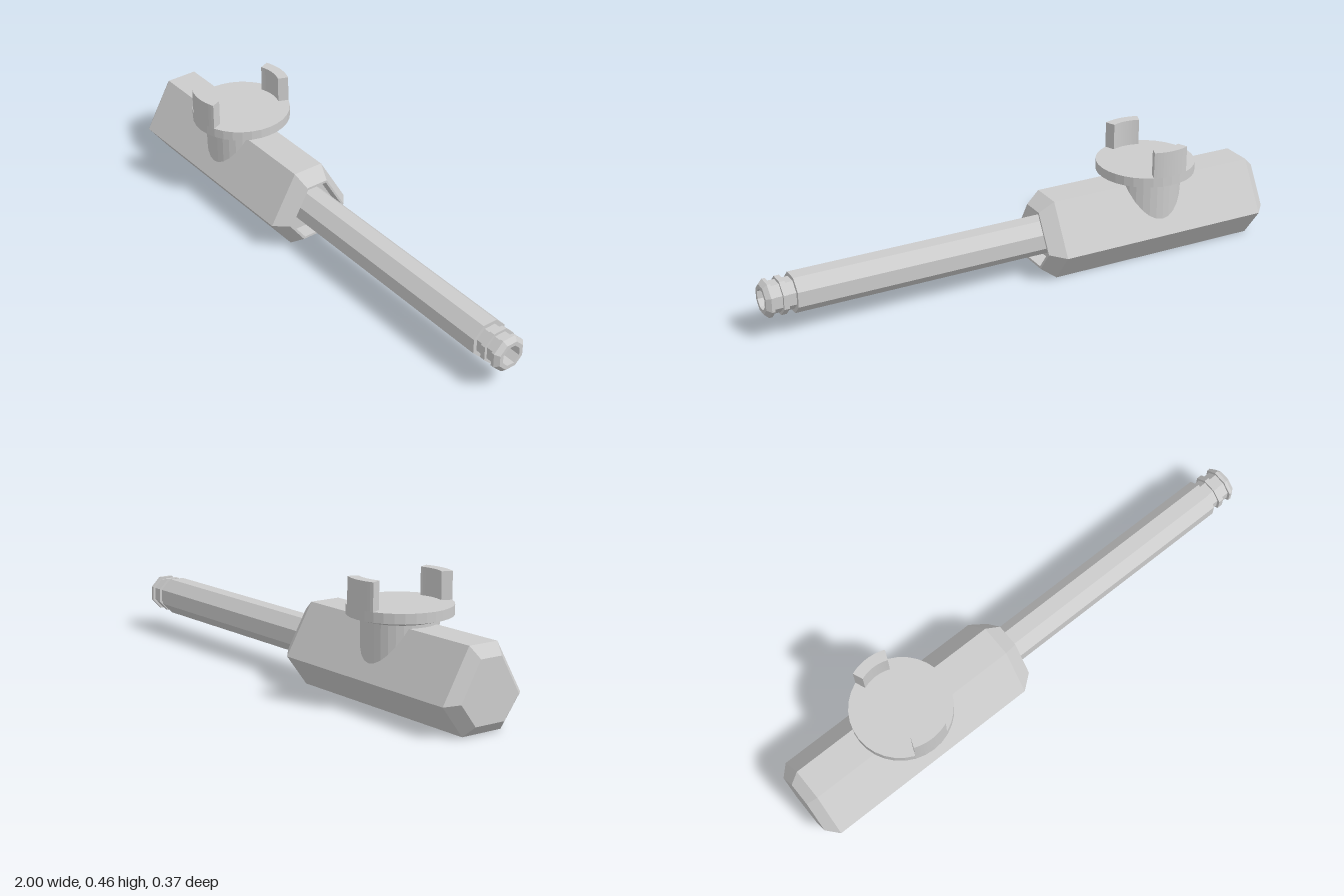
import * as THREE from 'three';

const AXIS_Y = 0.148; // height of the body and barrel axis
const material = new THREE.MeshStandardMaterial({ color: 0xcccccc, flatShading: true });

function addMesh(group, name, geometry) {
  const mesh = new THREE.Mesh(geometry, material);
  mesh.name = name;
  group.add(mesh);
  return mesh;
}

// Sweeps an outline of [z, y] points along x; stations are [x, scale], both ends capped.
function loftX(outline, stations) {
  const n = outline.length;
  const rings = stations.map(([x, s]) => outline.map(([z, y]) => [x, y * s, z * s]));
  const pos = [];
  for (let k = 0; k < rings.length - 1; k++) {
    for (let i = 0; i < n; i++) {
      const j = (i + 1) % n, a = rings[k], b = rings[k + 1];
      pos.push(...a[i], ...a[j], ...b[i], ...a[j], ...b[j], ...b[i]);
    }
  }
  const first = rings[0], last = rings[rings.length - 1];
  for (let i = 1; i < n - 1; i++) {
    pos.push(...first[0], ...first[i + 1], ...first[i]);
    pos.push(...last[0], ...last[i], ...last[i + 1]);
  }
  const geometry = new THREE.BufferGeometry();
  geometry.setAttribute('position', new THREE.Float32BufferAttribute(pos, 3));
  geometry.translate(0, AXIS_Y, 0);
  geometry.computeVertexNormals();
  return geometry;
}

export function createModel() {
  const model = new THREE.Group();
  model.name = 'valve';

  // Six-sided body, bevelled at both ends, with a shallow recess around the barrel
  const hexagon = [
    [-0.06, 0.15], [0.06, 0.15], [0.167, -0.036],
    [0.083, -0.148], [-0.083, -0.148], [-0.167, -0.036],
  ];
  addMesh(model, 'body', loftX(hexagon, [
    [-1, 0.74], [-0.96, 1], [-0.115, 1], [-0.06, 0.74], [-0.06, 0.68], [-0.12, 0.68],
  ]));

  // Octagonal barrel with two grooves, a bevelled tip and a bore; scales are flat-to-axis distances
  const octagon = [];
  for (let i = 0; i < 8; i++) {
    const a = (i - 0.5) * Math.PI / 4, r = 1 / Math.cos(Math.PI / 8);
    octagon.push([r * Math.sin(a), r * Math.cos(a)]);
  }
  addMesh(model, 'barrel', loftX(octagon, [
    [-0.14, 0.068], [0.89, 0.068], [0.89, 0.054], [0.92, 0.054],
    [0.92, 0.064], [0.94, 0.064], [0.94, 0.054], [0.972, 0.054],
    [0.972, 0.064], [0.984, 0.064], [1, 0.05], [1, 0.036], [0.9, 0.036],
  ]));

  // Round stem flaring into a flat disc
  const knob = new THREE.Group();
  knob.name = 'knob';
  knob.position.x = -0.54;
  model.add(knob);
  const profile = [
    [0, 0.12], [0.135, 0.12], [0.135, 0.309], [0.186, 0.324], [0.186, 0.36], [0, 0.36],
  ].map(([r, y]) => new THREE.Vector2(r, y));
  addMesh(knob, 'stemAndDisc', new THREE.LatheGeometry(profile, 32));

  // Two curved grips standing on the rim of the disc
  const half = 0.386;
  for (const [name, mid] of [['frontGrip', -Math.PI / 2], ['backGrip', Math.PI / 2]]) {
    const shape = new THREE.Shape();
    shape.absarc(0, 0, 0.186, mid - half, mid + half, false);
    shape.absarc(0, 0, 0.146, mid + half, mid - half, true);
    shape.closePath();
    const grip = new THREE.ExtrudeGeometry(shape, { depth: 0.1, bevelEnabled: false, curveSegments: 6 });
    grip.rotateX(-Math.PI / 2);
    addMesh(knob, name, grip).position.y = 0.36;
  }

  return model;
}
